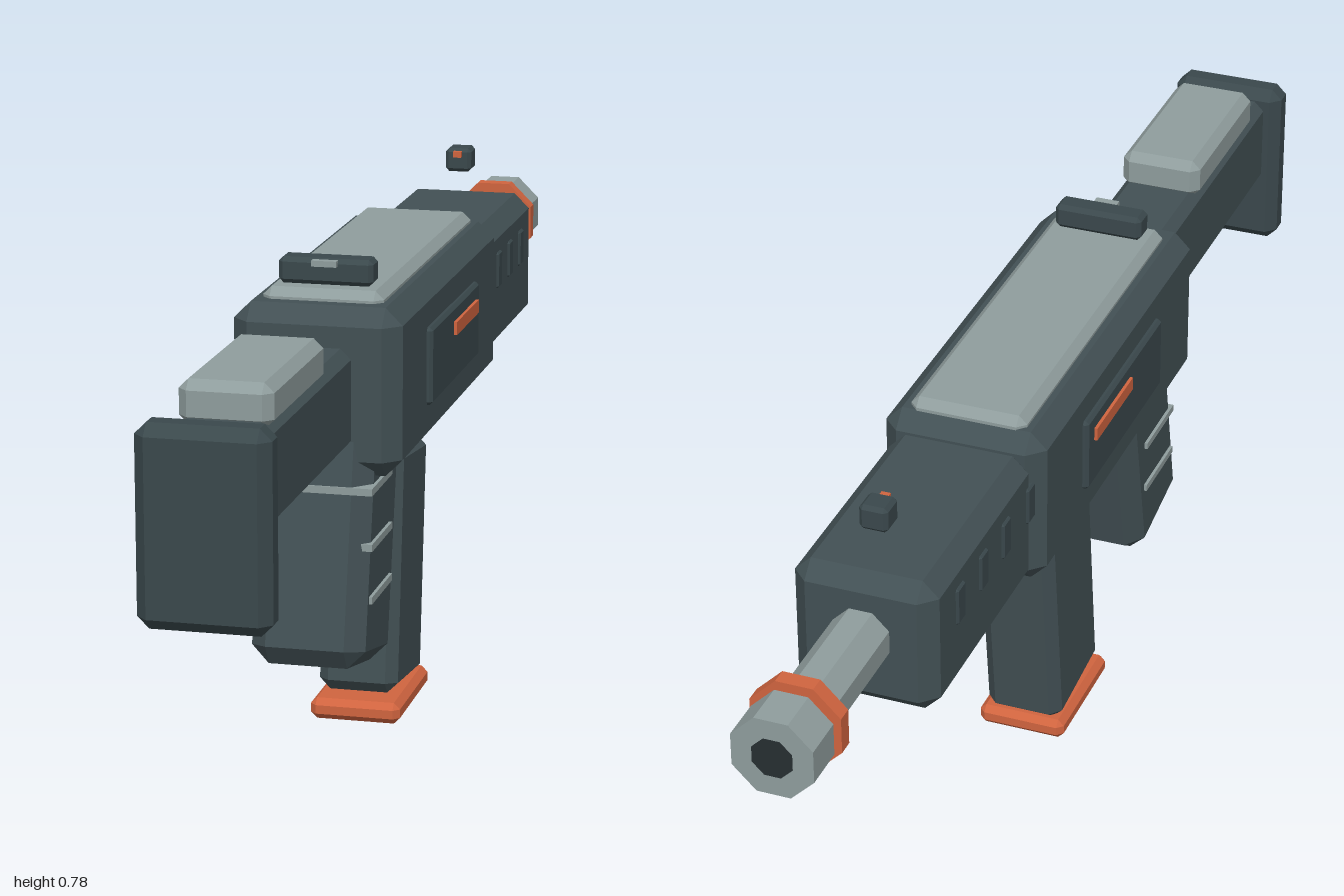
import * as THREE from 'three';
import { ConvexGeometry } from 'three/addons/geometries/ConvexGeometry.js';

const material = (name, color) => {
  const m = new THREE.MeshStandardMaterial({ color });
  m.name = name;
  return m;
};

// Box with every edge cut at 45 degrees
function chamferBox(w, h, d, c) {
  const points = [];
  for (const sx of [-1, 1]) for (const sy of [-1, 1]) for (const sz of [-1, 1]) {
    const x = w / 2, y = h / 2, z = d / 2;
    points.push(
      new THREE.Vector3(sx * x, sy * (y - c), sz * (z - c)),
      new THREE.Vector3(sx * (x - c), sy * y, sz * (z - c)),
      new THREE.Vector3(sx * (x - c), sy * (y - c), sz * z));
  }
  return new ConvexGeometry(points);
}

export function createModel() {
  const group = new THREE.Group();
  const frame = material('slate', 0x425054);
  const dark = material('dark slate', 0x3a484c);
  const light = material('light grey', 0x8f9d9d);
  const orange = material('orange', 0xd0643f);
  const black = material('bore black', 0x262e31);

  const add = (name, geometry, mat, x, y, z, tilt = 0) => {
    const mesh = new THREE.Mesh(geometry, mat);
    mesh.name = name;
    mesh.position.set(x, y, z);
    mesh.rotation.x = tilt;
    group.add(mesh);
    return mesh;
  };

  // Chamfered block given by half width, y range and z range
  const block = (name, mat, halfW, y0, y1, z0, z1, c) =>
    add(name, chamferBox(halfW * 2, y1 - y0, z1 - z0, c), mat, 0, (y0 + y1) / 2, (z0 + z1) / 2);

  // Octagonal rod along z, flat side up, sized by its half width
  const rod = (name, mat, halfW, z0, z1) => {
    const r = halfW / Math.cos(Math.PI / 8);
    const g = new THREE.CylinderGeometry(r, r, z1 - z0, 8).toNonIndexed();
    g.rotateY(Math.PI / 8).rotateX(Math.PI / 2);
    g.computeVertexNormals();
    return add(name, g, mat, 0, 0.595, (z0 + z1) / 2);
  };

  // Main body
  block('receiver', frame, 0.128, 0.465, 0.72, -0.31, 0.393, 0.026);
  block('topCover', light, 0.092, 0.69, 0.737, -0.285, 0.347, 0.013);
  block('handguard', frame, 0.11, 0.475, 0.693, -0.69, -0.29, 0.025);

  // Barrel
  rod('barrel', light, 0.043, -0.94, -0.66);
  rod('barrelRing', orange, 0.068, -0.92, -0.895);
  rod('muzzle', light, 0.061, -0.999, -0.93);
  rod('bore', black, 0.03, -1, -0.996);

  // Stock
  block('stock', frame, 0.068, 0.52, 0.673, 0.425, 0.97, 0.016);
  block('cheekRest', light, 0.067, 0.66, 0.725, 0.585, 0.88, 0.014);
  block('buttPad', dark, 0.095, 0.405, 0.692, 0.94, 1, 0.017);

  // Grip with light ridges
  add('grip', chamferBox(0.174, 0.4, 0.2, 0.027), frame, 0, 0.365, 0.324, -0.21);
  for (const y of [0.45, 0.365, 0.284])
    add('gripRidge', new THREE.BoxGeometry(0.184, 0.011, 0.13), light, 0, y, 0.345);

  // Magazine
  add('magazine', chamferBox(0.126, 0.39, 0.19, 0.017), frame, 0, 0.228, 0.019, -0.112);
  block('magazineBase', orange, 0.072, 0, 0.034, -0.065, 0.15, 0.01);

  // Sights
  block('rearSight', dark, 0.072, 0.739, 0.779, 0.282, 0.324, 0.007);
  add('rearSightMark', new THREE.BoxGeometry(0.038, 0.009, 0.012), light, 0, 0.773, 0.327);
  block('frontSight', dark, 0.022, 0.739, 0.779, -0.64, -0.596, 0.006);
  add('frontSightMark', new THREE.BoxGeometry(0.014, 0.01, 0.012), orange, 0, 0.77, -0.594);

  // Mirrored side details
  for (const s of [-1, 1]) {
    add('sidePanel', chamferBox(0.02, 0.12, 0.34, 0.005), dark, s * 0.127, 0.595, 0.038);
    add('panelStripe', new THREE.BoxGeometry(0.008, 0.021, 0.162), orange, s * 0.138, 0.621, -0.024);
    for (const z of [-0.59, -0.5, -0.41, -0.31])
      add('ventSlot', chamferBox(0.012, 0.06, 0.03, 0.003), dark, s * 0.108, 0.615, z);
  }
  return group;
}
